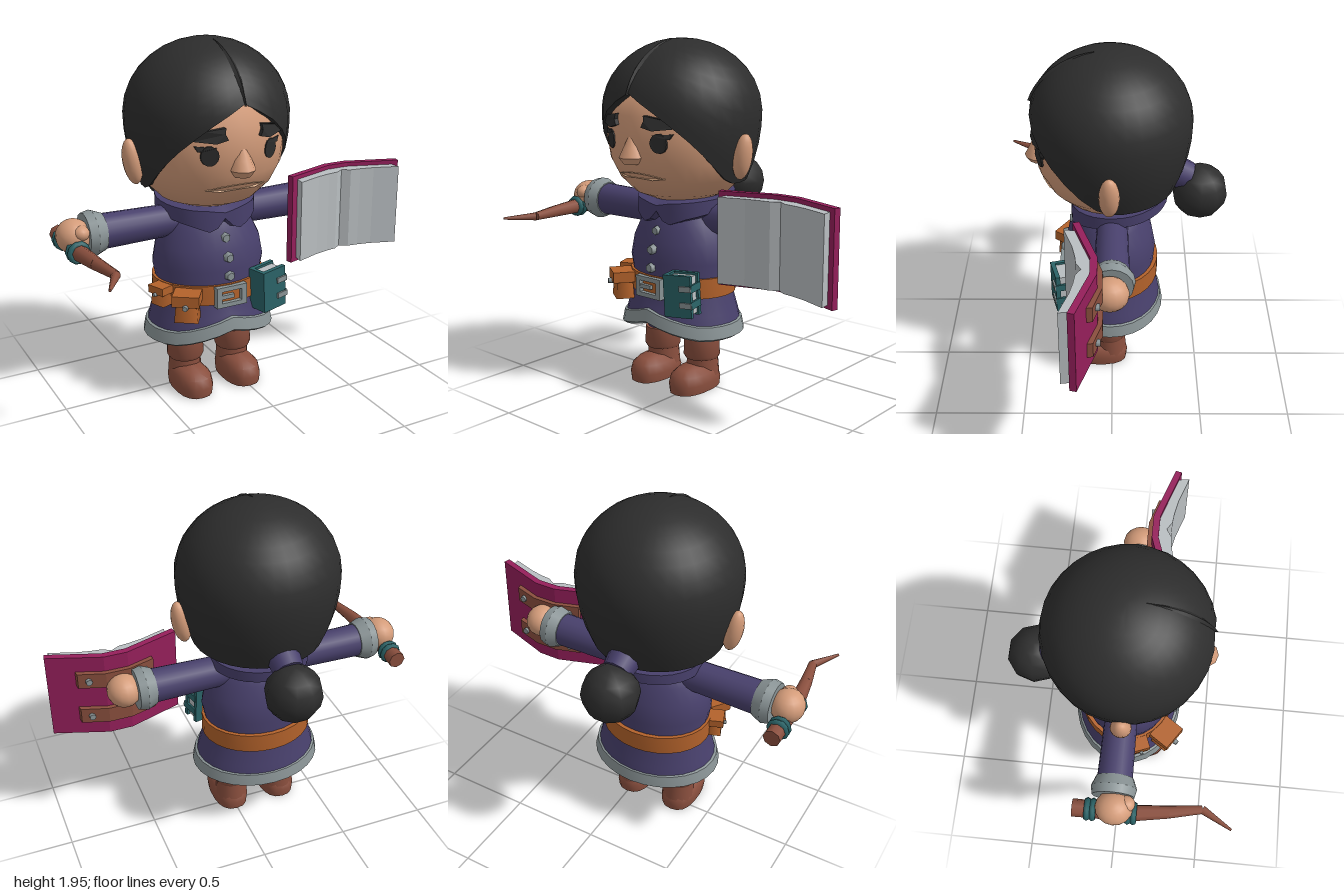
import * as THREE from 'three';
import { toCreasedNormals } from 'three/addons/utils/BufferGeometryUtils.js';

const mat = (name, color) => Object.assign(new THREE.MeshStandardMaterial({ color }), { name });
const M = {
  hair: mat('charcoal', 0x2d2d2d), skin: mat('skin', 0xd49c7a), lip: mat('pale lip', 0xe8b78f),
  coat: mat('purple cloth', 0x48406c), metal: mat('grey trim', 0x8a9496), paper: mat('paper', 0xb9bec1),
  belt: mat('orange leather', 0xb3622b), brown: mat('brown leather', 0x8a4f3e),
  cover: mat('magenta cover', 0x951f5b), teal: mat('teal', 0x2b6468),
};
const V = (x, y, z) => new THREE.Vector3(x, y, z);

// piecewise linear lookup in [x, value] pairs
function lookup(table, x) {
  for (let i = 1; i < table.length; i++) {
    const [x0, y0] = table[i - 1], [x1, y1] = table[i];
    if (x <= x1) return y0 + (y1 - y0) * Math.max(0, (x - x0) / (x1 - x0));
  }
  return table[table.length - 1][1];
}

// closed skin over rings [rx, rz, y, zCentre], listed from the bottom up; entries may depend on the angle from the front
function loft(rings, n = 28, power = 1) {
  const pos = [], idx = [];
  const val = (v, a) => (typeof v === 'function' ? v(a) : v ?? 0);
  const bend = (v) => Math.sign(v) * Math.abs(v) ** power;
  rings.forEach((ring, j) => {
    for (let i = 0; i < n; i++) {
      const a = (i / n) * Math.PI * 2, f = a > Math.PI ? a - Math.PI * 2 : a;
      const [rx, rz, y, zc] = ring.map((v) => val(v, f));
      pos.push(rx * bend(Math.sin(a)), y, (zc || 0) + rz * bend(Math.cos(a)));
      if (j < rings.length - 1) {
        const p = j * n + i, q = j * n + ((i + 1) % n);
        idx.push(p, q, p + n, q, q + n, p + n);
      }
    }
  });
  const g = new THREE.BufferGeometry();
  g.setAttribute('position', new THREE.Float32BufferAttribute(pos, 3));
  g.setIndex(idx);
  return toCreasedNormals(g, 0.75);
}

// outline in x and z, raised from y0 to y1
function slab(points, y0, y1) {
  const s = new THREE.Shape(points.map(([x, z]) => new THREE.Vector2(x, -z)));
  return new THREE.ExtrudeGeometry(s, { depth: y1 - y0, bevelEnabled: false }).rotateX(-Math.PI / 2).translate(0, y0, 0);
}

// head and hair radius by height
const headTable = [[1.06, 0], [1.07, 0.15], [1.115, 0.26], [1.2, 0.345], [1.3, 0.395], [1.42, 0.412], [1.55, 0.405], [1.7, 0.34], [1.82, 0]];
const hairR = (y) => (y > 1.55 ? 0.44 * Math.sqrt(Math.max(0, 1 - ((y - 1.55) / 0.395) ** 2)) : 0.44 - 0.08 * ((1.55 - y) / 0.37) ** 2);
const hairline = (a) => lookup([[0, 1.67], [0.3, 1.6], [0.5, 1.54], [0.78, 1.44], [0.98, 1.36], [1.2, 1.27], [1.42, 1.2], [1.6, 1.18], [3.2, 1.18]], Math.abs(a));
const faceZ = (x, y) => 0.01 + Math.sqrt(Math.max(0, lookup(headTable, y) ** 2 - x * x));

export function createModel() {
  const root = new THREE.Group();
  root.name = 'bookishAdventurer';
  const add = (name, geo, material, p = [0, 0, 0], r = [0, 0, 0], parent = root) => {
    const m = new THREE.Mesh(geo, material);
    m.name = name;
    m.position.set(...p);
    m.rotation.set(...r);
    parent.add(m);
    return m;
  };
  // tapered cylinder between two points
  const limb = (name, material, p, q, r1, r2, sides = 16) => {
    const m = add(name, new THREE.CylinderGeometry(r2, r1, p.distanceTo(q), sides), material);
    m.position.copy(p).add(q).multiplyScalar(0.5);
    m.quaternion.setFromUnitVectors(V(0, 1, 0), q.clone().sub(p).normalize());
    return m;
  };
  const ball = (name, material, r, p, rot, w = 16, h = 12) =>
    add(name, new THREE.SphereGeometry(1, w, h).scale(...r), material, p, rot);
  // flat outline wrapped onto the face
  const onFace = (name, material, points, depth) => {
    const g = new THREE.ExtrudeGeometry(new THREE.Shape(points.map(([x, y]) => new THREE.Vector2(x, y))), { depth: depth + 0.01, bevelEnabled: false });
    const P = g.attributes.position;
    for (let i = 0; i < P.count; i++) P.setZ(i, P.getZ(i) - 0.01 + faceZ(P.getX(i), P.getY(i)));
    g.computeVertexNormals();
    add(name, g, material);
  };

  // head
  add('head', new THREE.LatheGeometry(headTable.map(([y, r]) => new THREE.Vector2(r, y)), 32), M.skin, [0, 0, 0.01]);
  add('nose', loft([[0, 0, 1.295, 0.39], [0.045, 0.05, 1.3, 0.4], [0.07, 0.07, 1.335, 0.405], [0.05, 0.05, 1.385, 0.4], [0.022, 0.025, 1.445, 0.395], [0, 0, 1.45, 0.39]], 10), M.skin);
  onFace('mouth', M.lip, [[-0.17, 1.225], [-0.1, 1.215], [0, 1.222], [0.1, 1.215], [0.17, 1.225], [0.1, 1.243], [0.04, 1.25], [-0.04, 1.25], [-0.1, 1.243]], 0.009);
  for (const s of [-1, 1]) {
    ball('ear', M.skin, [0.05, 0.125, 0.055], [s * 0.43, 1.335, 0.015], [0, 0, -s * 0.17]);
    const eye = [];
    for (let i = 0; i < 14; i++) {
      const a = (i / 14) * Math.PI * 2;
      eye.push([s * 0.172 + 0.042 * Math.cos(a), 1.418 + 0.052 * Math.sin(a)]);
    }
    onFace('eye', M.hair, eye, 0.008);
    onFace('eyelash', M.hair, [[0.14, 1.46], [0.24, 1.468], [0.225, 1.44], [0.2, 1.445]].map(([x, y]) => [s * x, y]), 0.009);
    onFace('eyebrow', M.hair, [[0.09, 1.5], [0.15, 1.483], [0.25, 1.495], [0.275, 1.52], [0.2, 1.545], [0.1, 1.56], [0.105, 1.53]].map(([x, y]) => [s * x, y]), 0.025);
  }

  // hair cap with a shaped hairline, parting, tie and bun
  const rim = (a) => lookup(headTable, hairline(a)) - 0.03;
  const rings = [[rim, rim, (a) => hairline(a) + 0.01, 0.01]];
  for (let k = 0; k <= 12; k++) {
    const y = (a) => hairline(a) + (1.945 - hairline(a)) * Math.sin((k / 12) * Math.PI / 2);
    const r = (a) => hairR(y(a));
    rings.push([r, r, y, 0.01]);
  }
  add('hair', loft(rings, 32), M.hair);
  const part = [], partIdx = [];
  for (let i = 0; i <= 10; i++) {
    const t = i / 10, th = 0.28 + t * 1.1, w = 0.024 * Math.sin(Math.PI * t);
    for (const c of [-1, 0, 1]) {
      const k = c ? 0.985 : 1.03 - 0.02 * t;
      part.push(c * w, 1.55 + 0.395 * k * Math.sin(th), 0.01 + 0.44 * k * Math.cos(th));
    }
    if (i < 10) for (const o of [i * 3, i * 3 + 1]) partIdx.push(o, o + 1, o + 3, o + 1, o + 4, o + 3);
  }
  const partGeo = new THREE.BufferGeometry();
  partGeo.setAttribute('position', new THREE.Float32BufferAttribute(part, 3));
  partGeo.setIndex(partIdx);
  add('hairParting', toCreasedNormals(partGeo, 0.5), M.hair);
  limb('hairTie', M.coat, V(0, 1.235, -0.335), V(0, 1.195, -0.42), 0.09, 0.08, 10);
  ball('hairBun', M.hair, [0.155, 0.155, 0.155], [0, 1.1, -0.485], [0, 0, 0], 10, 8);

  // coat, hem, belt and collar
  const lifted = (y, k = 1) => (a) => y + k * 0.08 * Math.max(0, 1 - Math.abs(a)) ** 1.3;
  add('coat', loft([[0, 0, 0.42], [0.33, 0.27, lifted(0.37)], [0.355, 0.295, lifted(0.37)], [0.335, 0.28, lifted(0.45, 0.6)],
    [0.305, 0.255, 0.55], [0.292, 0.248, 0.62], [0.315, 0.258, 0.74], [0.297, 0.237, 0.85], [0.25, 0.2, 0.95], [0.2, 0.16, 1.03], [0.1, 0.1, 1.08]]
    .map(([a, b, y]) => [a, b, y, 0.012])), M.coat);
  add('hem', loft([[0.32, 0.26, lifted(0.34)], [0.355, 0.292, lifted(0.322)], [0.374, 0.31, lifted(0.335)], [0.36, 0.298, lifted(0.402)], [0.335, 0.275, lifted(0.41)]]
    .map((r) => [...r, 0.013])), M.metal);
  add('belt', loft([[0.27, 0.22, 0.555], [0.316, 0.27, 0.555], [0.316, 0.27, 0.665], [0.27, 0.22, 0.665]].map((r) => [...r, 0.008])), M.belt);
  const cr = (a) => lookup([[0, 0.225], [0.8, 0.255], [1.57, 0.27], [3.15, 0.31]], Math.abs(a));
  add('collar', loft([[0.15, 0.15, 0.95],
    [cr, cr, (a) => lookup([[0, 1.02], [0.3, 0.945], [0.8, 0.99], [1.57, 1.03], [3.15, 1.065]], Math.abs(a))],
    [cr, cr, (a) => lookup([[0, 1.05], [0.4, 1.07], [3.15, 1.125]], Math.abs(a))],
    [0.13, 0.13, 1.1]], 32), M.coat);
  [[0.91, 0.22], [0.81, 0.26], [0.71, 0.27]].forEach(([y, z]) =>
    add('button', new THREE.CylinderGeometry(0.022, 0.034, 0.04, 6), M.metal, [0, y, z], [Math.PI / 2, 0, 0]));

  // belt buckle
  const frame = new THREE.Shape([[-0.09, -0.058], [0.09, -0.058], [0.09, 0.058], [-0.09, 0.058]].map((p) => new THREE.Vector2(...p)));
  frame.holes.push(new THREE.Path([[-0.06, -0.033], [-0.06, 0.033], [0.06, 0.033], [0.06, -0.033]].map((p) => new THREE.Vector2(...p))));
  add('buckle', new THREE.ExtrudeGeometry(frame, { depth: 0.04, bevelEnabled: false }), M.metal, [0, 0.603, 0.26]);
  add('bucklePin', new THREE.BoxGeometry(0.08, 0.022, 0.02), M.metal, [-0.025, 0.603, 0.288]);

  // belt pouches
  [[-0.235, 0.575, 0.24, -0.6, 1], [-0.315, 0.605, 0.1, -1.2, 0.72]].forEach(([x, y, z, turn, k]) => {
    const g = new THREE.Group();
    g.name = 'pouch';
    g.position.set(x, y, z);
    g.rotation.y = turn;
    g.scale.setScalar(k);
    root.add(g);
    add('pouchBody', new THREE.CylinderGeometry(0.075, 0.09, 0.13, 4, 1).rotateY(Math.PI / 4).scale(1, 1, 0.8), M.belt, [0, -0.01, 0.01], [0, 0, 0], g);
    add('pouchFlap', new THREE.BoxGeometry(0.145, 0.06, 0.125), M.belt, [0, 0.05, 0.015], [0, 0, 0], g);
    add('pouchStud', new THREE.CylinderGeometry(0.014, 0.018, 0.03, 6), M.metal, [0, 0.02, 0.082], [Math.PI / 2, 0, 0], g);
  });

  // small book hanging from the belt
  const small = new THREE.Group();
  small.name = 'beltBook';
  small.position.set(0.232, 0.605, 0.275);
  small.rotation.set(0, 0.25, 0.05);
  root.add(small);
  for (const z of [-0.045, 0.045]) add('smallCover', new THREE.BoxGeometry(0.16, 0.23, 0.025), M.teal, [0, 0, z], [0, 0, 0], small);
  add('smallSpine', new THREE.BoxGeometry(0.022, 0.23, 0.115), M.teal, [-0.07, 0, 0], [0, 0, 0], small);
  add('smallPages', new THREE.BoxGeometry(0.13, 0.205, 0.068), M.paper, [0.002, 0, 0], [0, 0, 0], small);
  for (const y of [-0.045, 0.045]) {
    add('clasp', new THREE.BoxGeometry(0.07, 0.03, 0.012), M.metal, [0.05, y, 0.061], [0, 0, 0], small);
    add('claspStrap', new THREE.BoxGeometry(0.012, 0.04, 0.11), M.teal, [0.08, y, 0.005], [0, 0, 0], small);
  }

  // arms and legs
  for (const s of [-1, 1]) {
    limb('sleeve', M.coat, V(s * 0.13, 0.98, 0), V(s * 0.62, 0.98, 0), 0.085, 0.094);
    limb('cuff', M.metal, V(s * 0.605, 0.98, 0), V(s * 0.66, 0.98, 0), 0.1, 0.122);
    limb('cuffEnd', M.metal, V(s * 0.66, 0.98, 0), V(s * 0.705, 0.98, 0), 0.122, 0.112);
    ball('hand', M.skin, [0.092, 0.09, 0.1], [s * 0.765, 0.985, 0.01]);
    ball('thumb', M.skin, [0.045, 0.04, 0.05], [s * 0.745, 1.015, 0.07]);
    limb('leg', M.coat, V(s * 0.15, 0.25, 0.02), V(s * 0.15, 0.45, 0.02), 0.082, 0.09);
    add('bootCuff', loft([[0.08, 0.08, 0.17], [0.094, 0.094, 0.17], [0.104, 0.104, 0.19], [0.1, 0.1, 0.292], [0.07, 0.07, 0.292]], 18), M.brown, [s * 0.15, 0, 0.02]);
    limb('bootShaft', M.brown, V(s * 0.15, 0.05, 0.01), V(s * 0.15, 0.18, 0.015), 0.095, 0.088);
    add('bootFoot', loft([[0, 0, 0], [0.098, 0.165, 0], [0.104, 0.17, 0.05], [0.095, 0.155, 0.1], [0.065, 0.115, 0.132], [0, 0, 0.142]], 18, 0.8), M.brown, [s * 0.15, 0, 0.08]);
  }

  // crooked wand
  const wand = [[-0.775, -0.21, 0.048], [-0.775, 0.1, 0.045], [-0.75, 0.3, 0.035], [-0.72, 0.472, 0.024], [-0.812, 0.63, 0.007]];
  for (let i = 1; i < wand.length; i++) {
    const [x0, z0, r0] = wand[i - 1], [x1, z1, r1] = wand[i];
    limb('wand', M.brown, V(x0, 0.93, z0), V(x1, 0.93, z1), r0, r1, 8);
  }
  for (const z of [-0.13, -0.1, 0.085, 0.115]) add('wandRing', new THREE.TorusGeometry(0.045, 0.018, 6, 10), M.teal, [-0.775, 0.93, z]);

  // large open book with straps behind
  const book = new THREE.Group();
  book.name = 'openBook';
  book.position.x = 0.145;
  root.add(book);
  const page = [[0.31, 0.25], [0.45, 0.202], [0.53, 0.185], [0.59, 0.178], [0.635, 0.15], [0.68, 0.178], [0.74, 0.185], [0.82, 0.202], [0.96, 0.25]];
  add('bookCover', slab([[0.27, 0.17], [0.57, 0.07], [0.7, 0.07], [0.995, 0.17], [0.987, 0.205], [0.7, 0.108], [0.57, 0.108], [0.28, 0.205]], 0.68, 1.18), M.cover, [0, 0, 0], [0, 0, 0], book);
  add('bookPages', slab([...page, [0.952, 0.19], [0.7, 0.105], [0.57, 0.105], [0.318, 0.19]], 0.7, 1.157), M.paper, [0, 0, 0], [0, 0, 0], book);
  for (const y of [0.815, 1.045]) {
    add('bookStrap', slab([[0.43, 0.125], [0.425, 0.09], [0.57, 0.045], [0.7, 0.045], [0.845, 0.09], [0.85, 0.125], [0.7, 0.075], [0.57, 0.075]], y - 0.045, y + 0.045), M.brown, [0, 0, 0], [0, 0, 0], book);
    for (const x of [0.48, 0.79]) add('strapStud', new THREE.CylinderGeometry(0.018, 0.018, 0.04, 8), M.metal, [x, y, 0.075], [Math.PI / 2, 0, 0], book);
  }

  root.position.x = -0.145;
  const model = new THREE.Group();
  model.name = 'character';
  model.add(root);
  return model;
}
